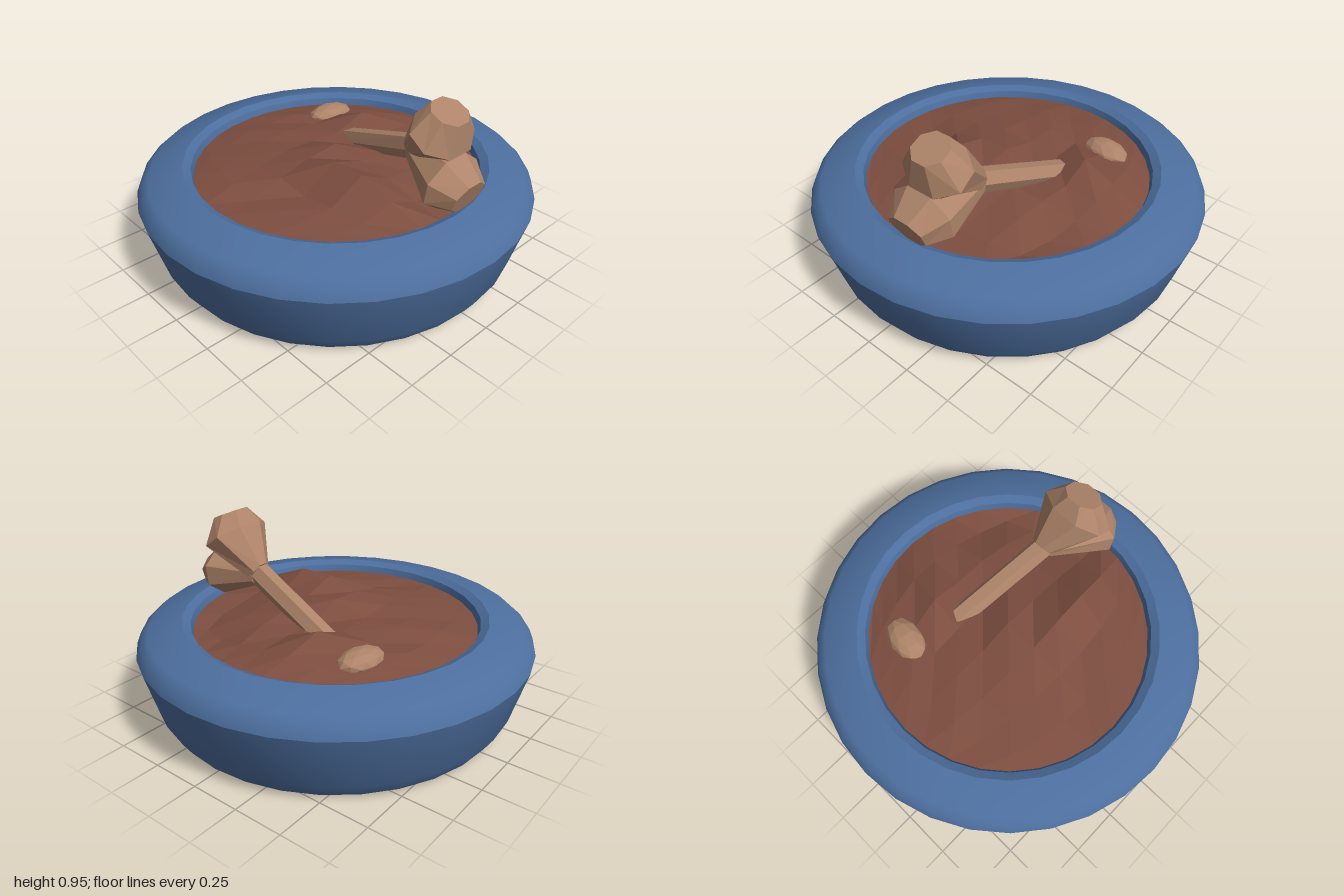
import * as THREE from 'three';
import { toCreasedNormals } from 'three/addons/utils/BufferGeometryUtils.js';

const flat = (color) => new THREE.MeshStandardMaterial({ color, flatShading: true });

function part(name, geometry, material) {
  const mesh = new THREE.Mesh(geometry, material);
  mesh.name = name;
  return mesh;
}

// Closed loft through elliptical sections [x, y, z, half height, half width, tilt]
function loft(sections, sides) {
  const pos = [], idx = [];
  for (const [x, y, z, h, w, tilt] of sections) {
    for (let j = 0; j < sides; j++) {
      const a = ((j + 0.5) / sides) * Math.PI * 2;
      const k = 1 / Math.cos(Math.PI / sides);
      const u = Math.cos(a) * h * k;
      pos.push(x - Math.sin(tilt) * u, y + Math.cos(tilt) * u, z + Math.sin(a) * w * k);
    }
  }
  const last = sections.length - 1;
  for (let i = 0; i < last; i++) {
    for (let j = 0; j < sides; j++) {
      const a = i * sides + j, b = i * sides + ((j + 1) % sides);
      idx.push(a, b, a + sides, b, b + sides, a + sides);
    }
  }
  for (let j = 1; j < sides - 1; j++) {
    idx.push(0, j + 1, j);
    idx.push(last * sides, last * sides + j, last * sides + j + 1);
  }
  const g = new THREE.BufferGeometry();
  g.setAttribute('position', new THREE.Float32BufferAttribute(pos, 3));
  g.setIndex(idx);
  g.computeVertexNormals();
  return g;
}

// Lumpy filling: a grid bent into a disc, with one height per inner corner
function foodGeometry(radius) {
  const heights = [
    [0.46, 0.48, 0.50, 0.48, 0.46, 0.43, 0.42],
    [0.47, 0.49, 0.555, 0.49, 0.50, 0.48, 0.44],
    [0.48, 0.48, 0.49, 0.48, 0.51, 0.48, 0.44],
    [0.47, 0.50, 0.50, 0.555, 0.53, 0.51, 0.46],
    [0.48, 0.49, 0.51, 0.54, 0.59, 0.59, 0.52],
    [0.46, 0.48, 0.49, 0.50, 0.47, 0.48, 0.46],
    [0.46, 0.47, 0.47, 0.45, 0.46, 0.46, 0.45],
  ];
  const g = new THREE.PlaneGeometry(2, 2, 8, 8).rotateX(-Math.PI / 2);
  const p = g.attributes.position;
  for (let i = 0; i < p.count; i++) {
    const u = p.getX(i), v = p.getZ(i);
    const col = i % 9, row = Math.floor(i / 9);
    const y = heights[row - 1]?.[col - 1] ?? 0.44;
    p.setXYZ(i, radius * u * Math.sqrt(1 - v * v / 2), y, radius * v * Math.sqrt(1 - u * u / 2));
  }
  g.computeVertexNormals();
  return g;
}

export function createModel() {
  const model = new THREE.Group();
  model.name = 'filledBowl';

  // Bowl: flared wall, rolled rim and hollow inside
  const profile = [
    [0, 0], [0.82, 0], [0.875, 0.02], [0.92, 0.09], [1, 0.37], [0.98, 0.42], [0.94, 0.455],
    [0.77, 0.495], [0.73, 0.475], [0.715, 0.43], [0.68, 0.1], [0, 0.08],
  ].map(([x, y]) => new THREE.Vector2(x, y));
  const bowl = toCreasedNormals(new THREE.LatheGeometry(profile, 32), 0.6);
  model.add(part('bowl', bowl, new THREE.MeshStandardMaterial({ color: 0x4d6f9f })));

  // Food
  const foodMaterial = flat(0x7d4e40);
  foodMaterial.side = THREE.DoubleSide;
  model.add(part('food', foodGeometry(0.72), foodMaterial));

  // Bone: slim shaft ending in two knuckles
  const boneMaterial = flat(0xae8469);
  const bone = new THREE.Group();
  bone.name = 'bone';
  bone.add(part('boneShaft', loft([
    [-0.22, 0.42, -0.25, 0.05, 0.05, 0.36],
    [0.39, 0.645, -0.14, 0.055, 0.05, 0.36],
    [0.52, 0.68, -0.11, 0.06, 0.06, 0.36],
  ], 6), boneMaterial));
  bone.add(part('upperKnuckle', loft([
    [0.39, 0.65, -0.14, 0.06, 0.055, 0.5],
    [0.59, 0.81, -0.10, 0.13, 0.175, 0.95],
    [0.62, 0.92, -0.10, 0.085, 0.09, 1.15],
  ], 8), boneMaterial));
  bone.add(part('lowerKnuckle', loft([
    [0.39, 0.64, -0.14, 0.055, 0.055, 0.1],
    [0.67, 0.60, -0.08, 0.125, 0.17, -0.15],
    [0.775, 0.56, -0.08, 0.08, 0.1, -0.37],
  ], 8), boneMaterial));
  model.add(bone);

  // Small chunk half sunk in the food
  const chunk = part('chunk', new THREE.IcosahedronGeometry(1, 1), boneMaterial);
  chunk.scale.set(0.085, 0.055, 0.13);
  chunk.position.set(-0.4, 0.475, -0.33);
  chunk.rotation.y = -0.15;
  model.add(chunk);

  return model;
}
